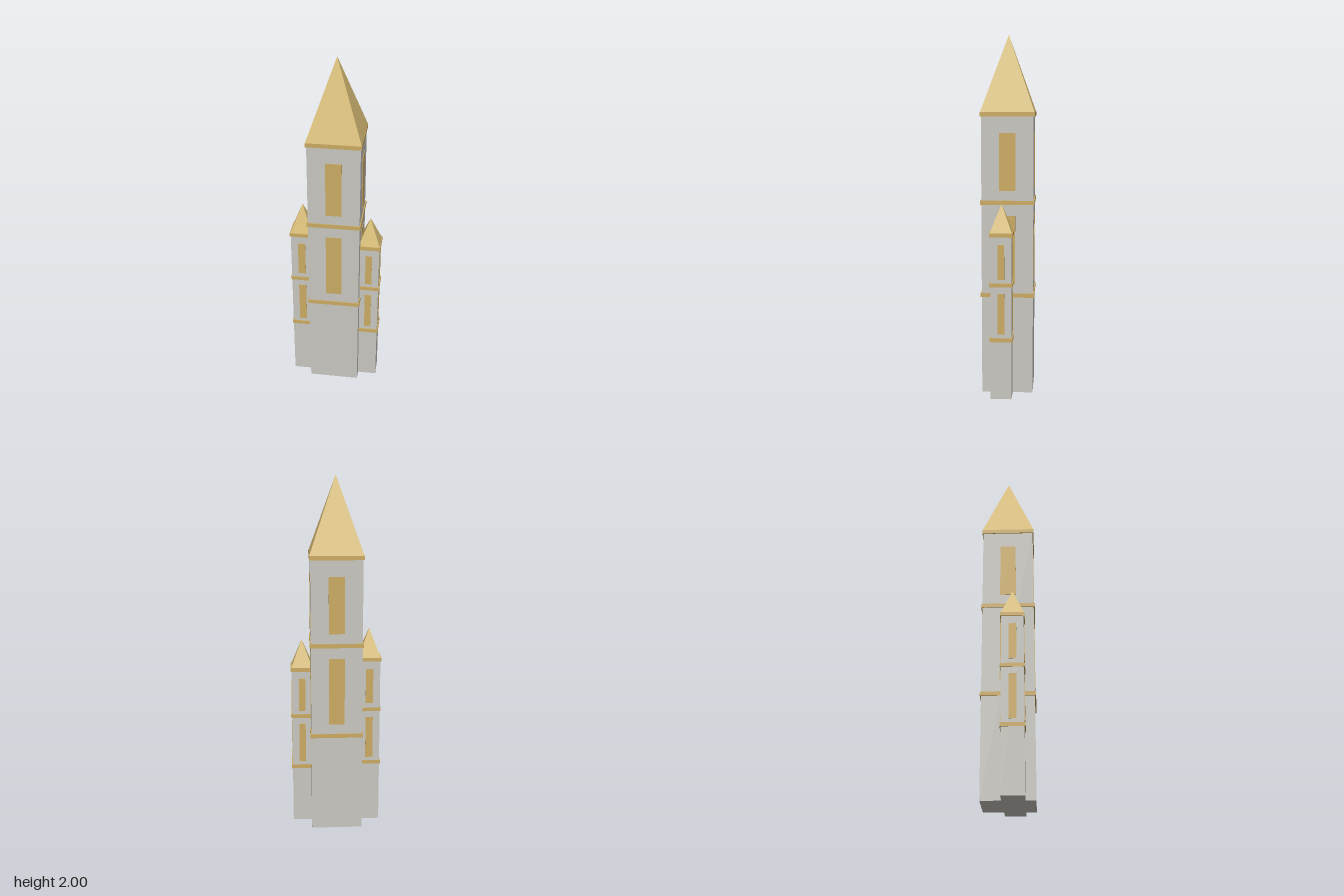
import * as THREE from 'three';

const material = (name, color) => {
  const m = new THREE.MeshStandardMaterial({ color });
  m.name = name;
  return m;
};

export function createModel() {
  const stone = material('pale stone', 0xc8c6c0);
  const trim = material('gold trim', 0xcbaa62);
  const roofGold = material('roof gold', 0xd4b973);

  function add(parent, name, geometry, mat) {
    const mesh = new THREE.Mesh(geometry, mat);
    mesh.name = name;
    parent.add(mesh);
    return mesh;
  }

  // Square tower: stone shaft, ledges, tall window panels and a pyramid roof
  function tower(name, t) {
    const group = new THREE.Group();
    group.name = name;
    group.position.set(t.x, 0, t.z);
    const eaves = t.bands[t.bands.length - 1][1];

    const shaft = add(group, 'shaft', new THREE.BoxGeometry(t.wall * 2, eaves - 0.005, t.wall * 2), stone);
    shaft.position.y = (eaves - 0.005) / 2;

    for (const [y0, y1] of t.bands) {
      const ledge = add(group, 'ledge', new THREE.BoxGeometry(t.ledge * 2, y1 - y0, t.ledge * 2), trim);
      ledge.position.y = (y0 + y1) / 2;
    }

    // Window panels on every exposed side
    for (const angle of t.sides) {
      const side = new THREE.Group();
      side.name = 'windowSide';
      side.rotation.y = angle;
      group.add(side);
      for (const [y0, y1] of t.windows) {
        const panel = add(side, 'window', new THREE.BoxGeometry(t.pane * 2, y1 - y0, 0.006), trim);
        panel.position.set(0, (y0 + y1) / 2, t.wall);
      }
    }

    // Four-sided roof with crisp edges
    const cone = new THREE.ConeGeometry(t.roof * Math.SQRT2, t.tip - eaves, 4)
      .rotateY(Math.PI / 4).toNonIndexed();
    cone.computeVertexNormals();
    add(group, 'roof', cone, roofGold).position.y = (eaves + t.tip) / 2;
    return group;
  }

  const FRONT = 0, LEFT = Math.PI / 2, BACK = Math.PI, RIGHT = -Math.PI / 2;
  const model = new THREE.Group();
  model.name = 'towers';
  model.add(
    tower('mainTower', {
      x: 0, z: 0, wall: 0.143, ledge: 0.149, roof: 0.148, pane: 0.044, tip: 2,
      bands: [[0.554, 0.577], [1.075, 1.098], [1.557, 1.58]],
      windows: [[0.633, 1.013], [1.153, 1.467]],
      sides: [FRONT, LEFT, BACK, RIGHT],
    }),
    tower('rightTurret', {
      x: -0.192, z: 0.027, wall: 0.061, ledge: 0.066, roof: 0.062, pane: 0.021, tip: 1.15,
      bands: [[0.35, 0.371], [0.673, 0.694], [0.968, 0.989]],
      windows: [[0.392, 0.636], [0.721, 0.923]],
      sides: [FRONT, BACK, RIGHT],
    }),
    tower('leftTurret', {
      x: 0.193, z: 0.028, wall: 0.058, ledge: 0.064, roof: 0.06, pane: 0.0185, tip: 1.087,
      bands: [[0.328, 0.35], [0.637, 0.658], [0.912, 0.934]],
      windows: [[0.371, 0.6], [0.679, 0.87]],
      sides: [FRONT, LEFT, BACK],
    }),
  );
  return model;
}
